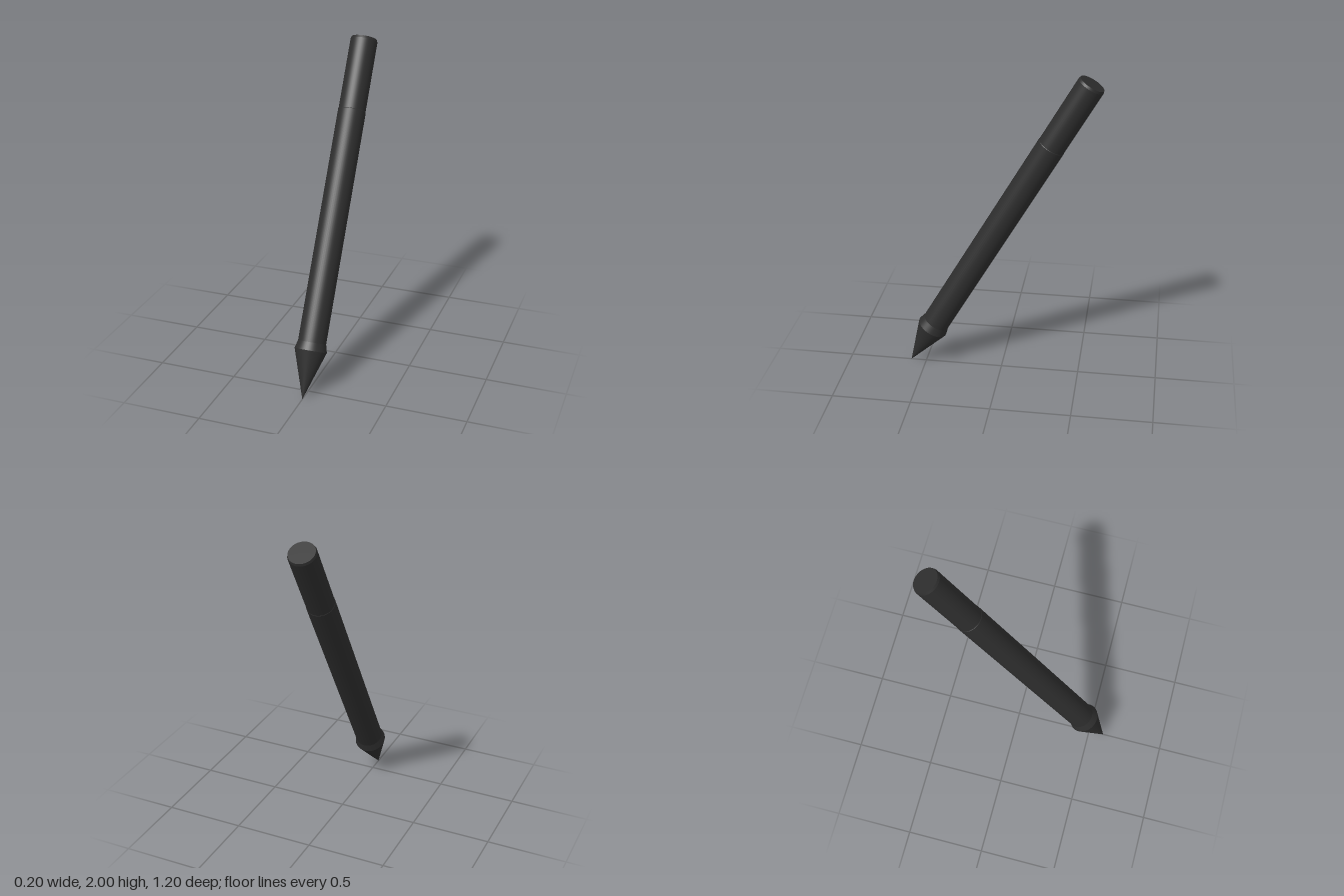
import * as THREE from 'three';

const charcoal = new THREE.MeshStandardMaterial({ color: 0x2d2d2d });
charcoal.name = 'charcoal';

// Straight-sided section of revolution, from height a to b along the pen axis
function section(name, a, b, radiusA, radiusB) {
  const geometry = new THREE.CylinderGeometry(radiusB, radiusA, b - a, 48, 1, true);
  geometry.translate(0, (a + b) / 2, 0);
  const mesh = new THREE.Mesh(geometry, charcoal);
  mesh.name = name;
  return mesh;
}

export function createModel() {
  const pen = new THREE.Group();
  pen.name = 'pen';

  // Point, flared grip ring and two-part barrel
  pen.add(
    section('tip', 0, 0.3, 0, 0.1),
    section('gripRing', 0.3, 0.35, 0.1, 0.087),
    section('lowerBarrel', 0.35, 1.8, 0.087, 0.087),
    section('barrelStep', 1.8, 1.803, 0.087, 0.085),
    section('upperBarrel', 1.803, 2.248, 0.085, 0.085),
    section('endBevel', 2.248, 2.263, 0.085, 0.08)
  );

  // Flat end
  const end = new THREE.Mesh(new THREE.CircleGeometry(0.08, 48), charcoal);
  end.name = 'endCap';
  end.rotation.x = -Math.PI / 2;
  end.position.y = 2.263;
  pen.add(end);

  // Lean back with the point resting on the ground at the front
  pen.rotation.x = -Math.PI / 6;
  pen.position.z = 0.6;

  const model = new THREE.Group();
  model.name = 'leaningPen';
  model.add(pen);
  return model;
}
